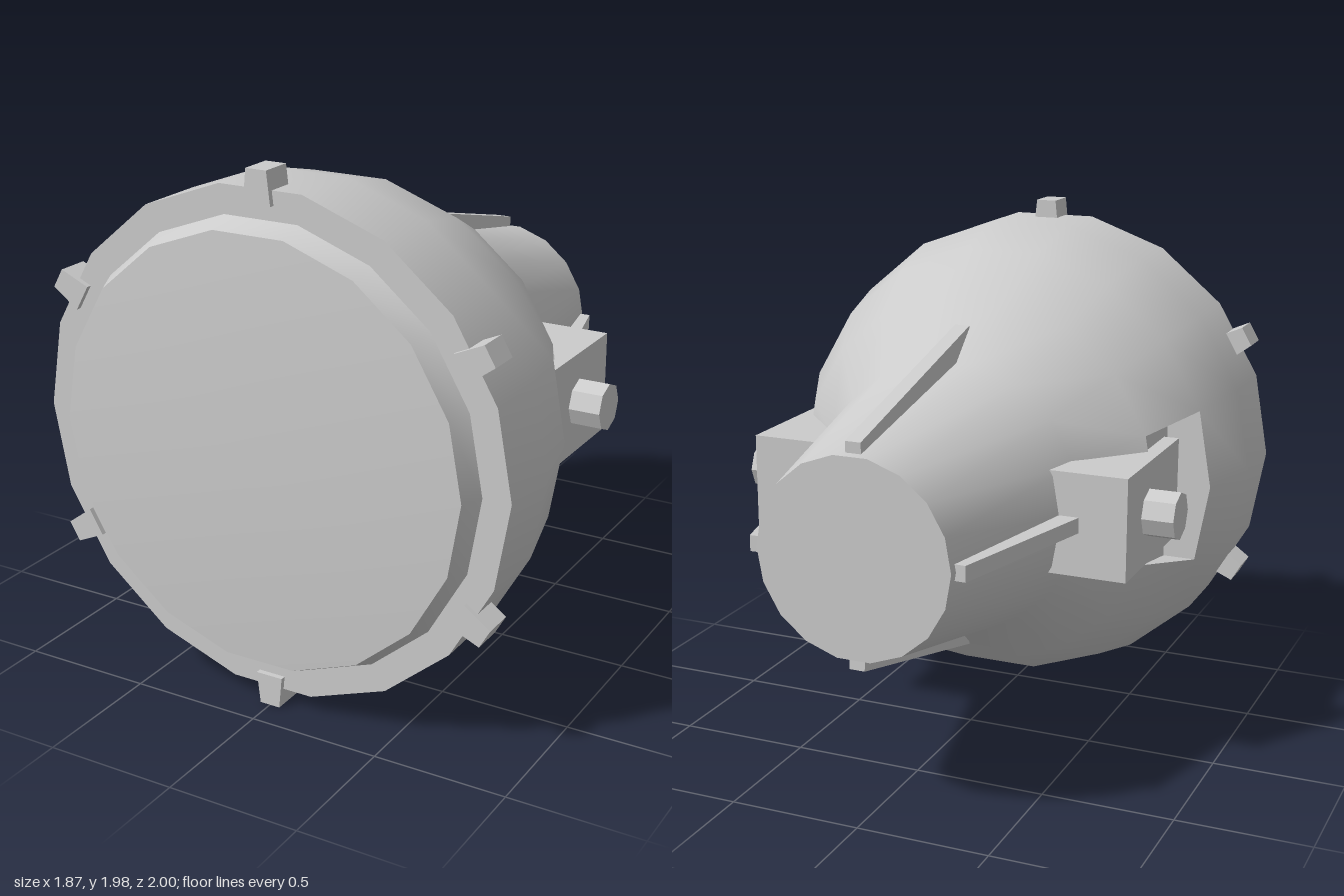
import * as THREE from 'three';
import { toCreasedNormals } from 'three/addons/utils/BufferGeometryUtils.js';

const SIDES = 18;
const CENTRE_Y = 0.99;
const material = new THREE.MeshStandardMaterial({ color: 0xcccccc });

function addMesh(parent, name, geometry) {
  const mesh = new THREE.Mesh(geometry, material);
  mesh.name = name;
  parent.add(mesh);
  return mesh;
}

// Flat-sided geometry from a list of convex polygons
function fromPolygons(polygons) {
  const pos = [];
  for (const p of polygons) {
    for (let i = 1; i < p.length - 1; i++) pos.push(...p[0], ...p[i], ...p[i + 1]);
  }
  const g = new THREE.BufferGeometry();
  g.setAttribute('position', new THREE.Float32BufferAttribute(pos, 3));
  g.computeVertexNormals();
  return g;
}

function ringPoint(r, z, j) {
  const a = ((j % SIDES) / SIDES) * Math.PI * 2;
  return [r * Math.cos(a), r * Math.sin(a), z];
}

// Surface of rings [radius, z] from back to front; skip(i, j) leaves a panel open
function ringSurface(profile, skip = () => false) {
  const polygons = [];
  for (let i = 0; i < profile.length - 1; i++) {
    const [r0, z0] = profile[i];
    const [r1, z1] = profile[i + 1];
    for (let j = 0; j < SIDES; j++) {
      if (skip(i, j)) continue;
      const quad = [];
      quad.push(ringPoint(r0, z0, j));
      if (r0 > 0) quad.push(ringPoint(r0, z0, j + 1));
      quad.push(ringPoint(r1, z1, j + 1));
      if (r1 > 0) quad.push(ringPoint(r1, z1, j));
      polygons.push(quad);
    }
  }
  return toCreasedNormals(fromPolygons(polygons), 0.85);
}

function extrude(points, depth) {
  const shape = new THREE.Shape(points.map(([x, y]) => new THREE.Vector2(x, y)));
  return new THREE.ExtrudeGeometry(shape, { depth, bevelEnabled: false });
}

export function createModel() {
  const model = new THREE.Group();
  model.name = 'lampHousing';
  const lamp = new THREE.Group();
  lamp.name = 'lamp';
  lamp.position.y = CENTRE_Y;
  model.add(lamp);

  // Bell-shaped housing with a two-panel opening on each side
  const holeBack = [0.731, 0.03];
  const holeFront = [0.863, 0.3];
  const openPanels = [0, 17, 8, 9];
  addMesh(lamp, 'housing', ringSurface(
    [[0, -1], [0.365, -1], [0.522, -0.2], holeBack, holeFront, [0.935, 0.59], [0.935, 0.87], [0.83, 0.87]],
    (i, j) => i === 3 && openPanels.includes(j)
  ));

  // Bezel and shallow conical lens
  addMesh(lamp, 'bezel', ringSurface([[0.83, 0.87], [0.795, 0.95]]));
  addMesh(lamp, 'lens', ringSurface([[0.795, 0.95], [0, 1]]));

  // Side mounts: recess, block and octagonal pivot
  const backTop = ringPoint(...holeBack, 1);
  const backMid = ringPoint(...holeBack, 0);
  const backLow = ringPoint(...holeBack, SIDES - 1);
  const frontTop = ringPoint(...holeFront, 1);
  const frontMid = ringPoint(...holeFront, 0);
  const frontLow = ringPoint(...holeFront, SIDES - 1);
  const floorX = backTop[0];
  const floorTop = [floorX, frontTop[1], frontTop[2]];
  const floorLow = [floorX, frontLow[1], frontLow[2]];
  const recess = fromPolygons([
    [backLow, backTop, floorTop, floorLow],
    [floorLow, floorTop, frontTop, frontMid, frontLow],
    [backLow, backMid, backTop],
    [backTop, frontTop, floorTop],
    [backLow, floorLow, frontLow],
  ]);
  const block = new THREE.BoxGeometry(0.345, 0.385, 0.6).translate(0.5725, 0, -0.04);
  const pivot = toCreasedNormals(
    new THREE.CylinderGeometry(0.09, 0.09, 0.2, 8).rotateZ(-Math.PI / 2).translate(0.765, 0, -0.09), 0.5);
  for (const [side, angle] of [['left', 0], ['right', Math.PI]]) {
    const mount = new THREE.Group();
    mount.name = side + 'Mount';
    mount.rotation.z = angle;
    addMesh(mount, side + 'Recess', recess);
    addMesh(mount, side + 'MountBlock', block);
    addMesh(mount, side + 'Pivot', pivot);
    lamp.add(mount);
  }

  // Four cooling fins along the tapered neck
  const fin = extrude([[0.3, -0.97], [0.405, -0.975], [0.63, -0.08], [0.45, -0.08]], 0.058)
    .translate(0, 0, -0.029).rotateX(Math.PI / 2);
  for (let k = 0; k < 4; k++) {
    addMesh(lamp, 'fin' + (k + 1), fin).rotation.z = (k * Math.PI) / 2;
  }

  // Six tapered clips around the rim
  const clip = extrude([[0.87, -0.053], [0.99, -0.04], [0.99, 0.04], [0.87, 0.053]], 0.12)
    .translate(0, 0, 0.77);
  for (let k = 0; k < 6; k++) {
    addMesh(lamp, 'rimClip' + (k + 1), clip).rotation.z = Math.PI / 6 + (k * Math.PI) / 3;
  }
  return model;
}
